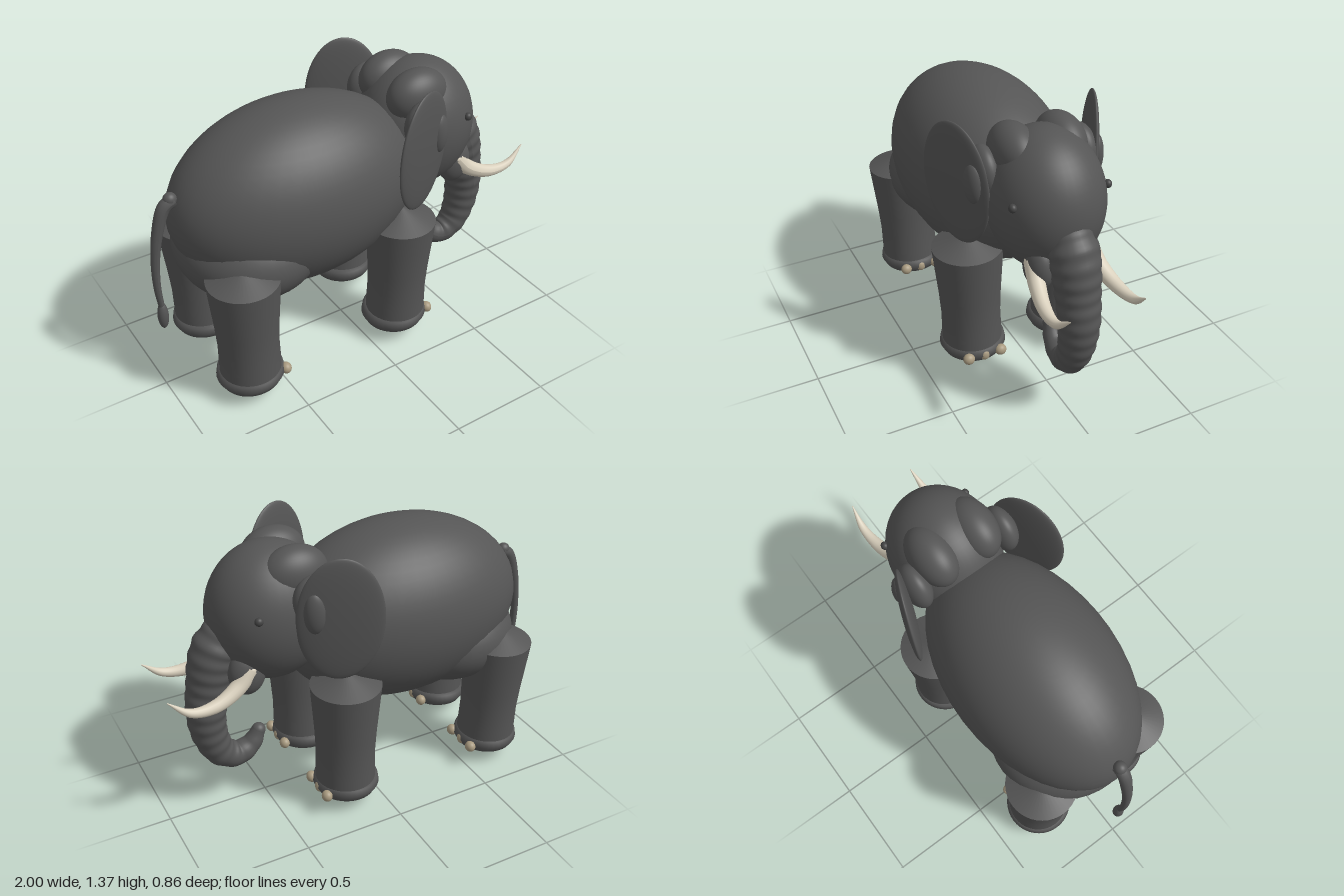
import * as THREE from 'three';

const mat = (name, color) => {
  const m = new THREE.MeshStandardMaterial({ color });
  m.name = name;
  return m;
};
const V = (x, y, z) => new THREE.Vector3(x, y, z);

// Tube along a smooth curve whose radius follows radiusAt(u), u = 0..1
function taperedTube(points, radiusAt, segments, sides) {
  const curve = new THREE.CatmullRomCurve3(points.map(p => V(...p)));
  const geo = new THREE.TubeGeometry(curve, segments, 1, sides);
  const pos = geo.attributes.position, v = V(0, 0, 0);
  for (let i = 0; i < pos.count; i++) {
    const u = Math.floor(i / (sides + 1)) / segments;
    const c = curve.getPointAt(u);
    v.fromBufferAttribute(pos, i).sub(c).multiplyScalar(radiusAt(u)).add(c);
    pos.setXYZ(i, v.x, v.y, v.z);
  }
  geo.computeVertexNormals();
  return geo;
}

// Linear interpolation through evenly spaced values
const ramp = values => u => {
  const t = u * (values.length - 1), i = Math.min(Math.floor(t), values.length - 2);
  return values[i] + (values[i + 1] - values[i]) * (t - i);
};

const lathe = pts => new THREE.LatheGeometry(pts.map(p => new THREE.Vector2(...p)), 40);

export function createModel() {
  const model = new THREE.Group();
  model.name = 'elephant';
  const skin = mat('grey skin', 0x555555);
  const eyeDark = mat('dark eye', 0x444444);
  const ivory = mat('ivory', 0xd9d0bd);
  const nail = mat('toenail', 0xa89a80);
  const ball = new THREE.SphereGeometry(1, 40, 28);

  const add = (name, geo, material, parent = model) => {
    const m = new THREE.Mesh(geo, material);
    m.name = name;
    parent.add(m);
    return m;
  };
  const ellipsoid = (name, c, r, material = skin, parent = model) => {
    const m = add(name, ball, material, parent);
    m.position.set(...c);
    m.scale.set(...r);
    return m;
  };

  // Torso and head
  ellipsoid('body', [-0.25, 0.87, 0], [0.64, 0.45, 0.4]);
  ellipsoid('hips', [-0.52, 0.68, 0], [0.35, 0.25, 0.37]);
  ellipsoid('head', [0.43, 1.017, 0], [0.3, 0.335, 0.265]);

  // Legs, feet and toenails
  const legSide = lathe([[0.148, 0.1], [0.146, 0.2], [0.144, 0.3], [0.15, 0.42], [0.16, 0.55], [0.17, 0.68]]);
  const legCap = lathe([[0.17, 0.68], [0, 0.75]]);
  const footGeo = lathe([[0, 0], [0.045, 0.04], [0.1, 0.048], [0.145, 0.075], [0.163, 0.108],
    [0.157, 0.14], [0.135, 0.153], [0, 0.155]]);
  for (const [place, x, lean] of [['front', 0.17, -0.005], ['hind', -0.66, 0.03]]) {
    for (const s of [1, -1]) {
      const leg = new THREE.Group();
      leg.name = place + 'Leg';
      leg.position.set(x, 0, s * 0.242);
      model.add(leg);
      const upper = new THREE.Group();
      upper.name = 'upperLeg';
      upper.rotation.set(s * 0.03, 0, lean);
      leg.add(upper);
      add('legSide', legSide, skin, upper);
      add('legTop', legCap, skin, upper);
      add('foot', footGeo, skin, leg).rotation.z = 0.04;
      for (const z of [-0.085, 0.085])
        ellipsoid('toenail', [0.142, 0.112, z], [0.026, 0.028, 0.029], nail, leg);
      ellipsoid('middleToenail', [0.142, 0.112, 0], [0.02, 0.03, 0.025], nail, leg);
    }
  }

  // Paired head parts
  const tuskRadius = ramp([0.042, 0.038, 0.031, 0.02, 0.002]);
  for (const s of [1, -1]) {
    ellipsoid('crownBump', [0.35, 1.23, s * 0.115], [0.16, 0.13, 0.105]);
    ellipsoid('earRoot', [0.31, 1.14, s * 0.24], [0.11, 0.125, 0.065]);
    const ear = ellipsoid('ear', [0.235, 1.065, s * 0.335], [0.198, 0.305, 0.03]);
    ear.rotation.set(s * 0.04, s * 0.39, 0);
    const fold = ellipsoid('earFold', [0.345, 1.115, s * 0.305], [0.05, 0.1, 0.035]);
    fold.rotation.y = s * 0.39;
    ellipsoid('eye', [0.575, 1.098, s * 0.23], [0.02, 0.02, 0.018], eyeDark);
    ellipsoid('cheek', [0.6, 0.79, s * 0.115], [0.09, 0.115, 0.065]);
    add('tusk', taperedTube([[0.595, 0.82, s * 0.14], [0.66, 0.75, s * 0.155], [0.78, 0.7, s * 0.18],
      [0.9, 0.708, s * 0.19], [1, 0.785, s * 0.178]], tuskRadius, 32, 16), ivory);
    ellipsoid('tuskBase', [0.595, 0.82, s * 0.14], [0.036, 0.03, 0.04], ivory);
  }

  // Trunk with soft wrinkles, curled at the end
  const trunkRamp = ramp([0.09, 0.112, 0.11, 0.102, 0.098, 0.092, 0.085, 0.076, 0.066, 0.052, 0.034]);
  add('trunk', taperedTube([[0.65, 0.97, 0], [0.71, 0.86, 0], [0.75, 0.7, 0], [0.772, 0.55, 0],
    [0.757, 0.41, 0], [0.71, 0.31, 0], [0.63, 0.27, 0], [0.555, 0.305, 0], [0.515, 0.37, 0]],
  u => trunkRamp(u) * (1 + 0.025 * Math.sin(u * Math.PI * 28)), 112, 28), skin);
  ellipsoid('trunkTop', [0.65, 0.97, 0], [0.09, 0.07, 0.09]);
  ellipsoid('trunkTip', [0.515, 0.37, 0], [0.034, 0.034, 0.034]);

  // Tail and tuft
  add('tail', taperedTube([[-0.86, 1.015, 0], [-0.905, 0.99, 0], [-0.95, 0.87, 0], [-0.976, 0.72, 0],
    [-0.982, 0.58, 0], [-0.973, 0.46, 0]], ramp([0.032, 0.028, 0.022, 0.018, 0.014]), 40, 14), skin);
  ellipsoid('tailRoot', [-0.875, 1.02, 0], [0.032, 0.032, 0.03]);
  ellipsoid('tailTuft', [-0.972, 0.412, 0], [0.026, 0.073, 0.026]);

  return model;
}
